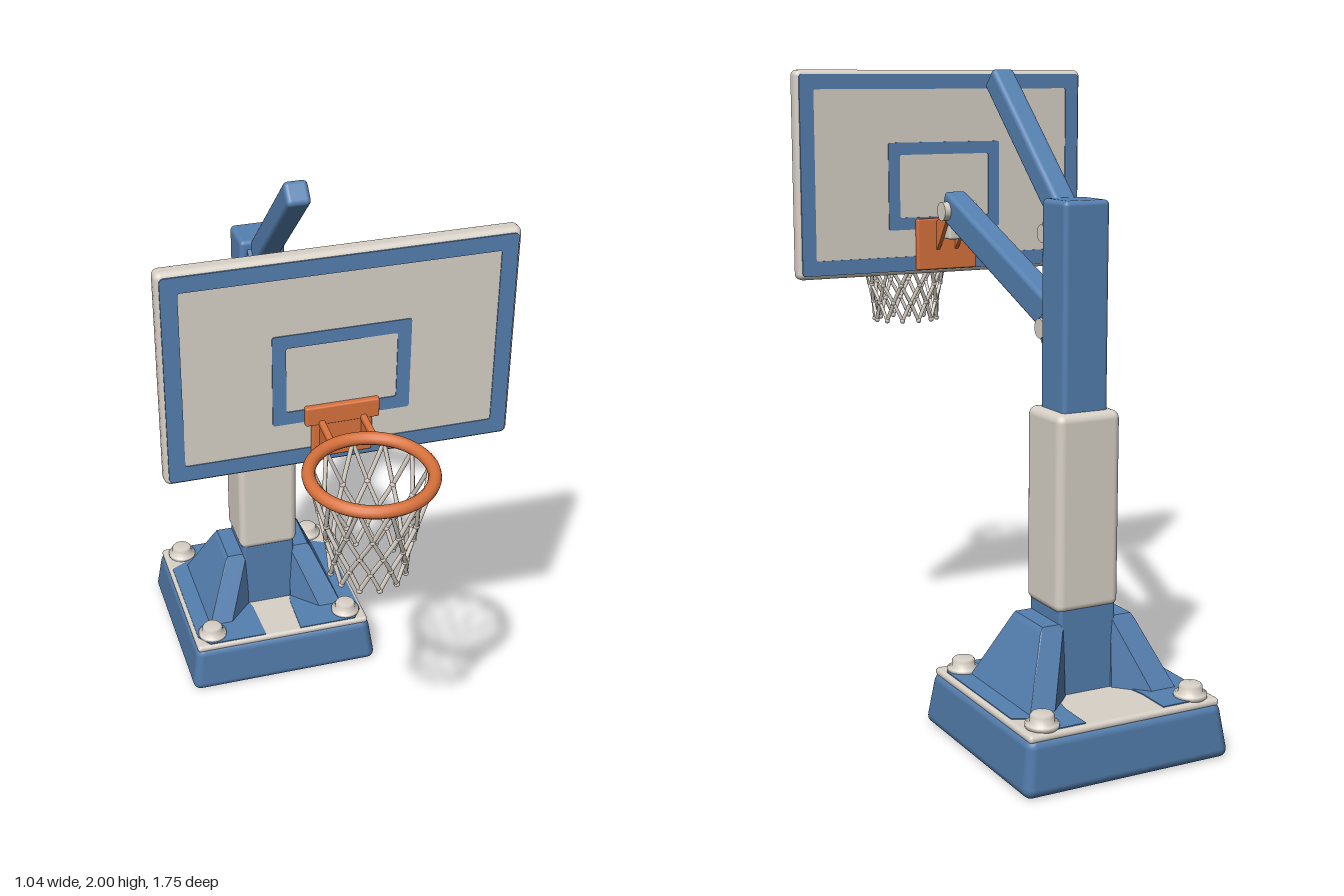
import * as THREE from 'three';
import { RoundedBoxGeometry } from 'three/addons/geometries/RoundedBoxGeometry.js';
import { ConvexGeometry } from 'three/addons/geometries/ConvexGeometry.js';

const material = (name, color) => Object.assign(new THREE.MeshStandardMaterial({ color }), { name });

export function createModel() {
  const blue = material('blue paint', 0x5580b0);
  const cream = material('cream', 0xd8d1c7);
  const orange = material('orange steel', 0xd9723c);
  const model = new THREE.Group();
  model.name = 'basketballHoop';

  const add = (name, geometry, mat, x = 0, y = 0, z = 0, parent = model) => {
    const mesh = new THREE.Mesh(geometry, mat);
    mesh.name = name;
    mesh.position.set(x, y, z);
    parent.add(mesh);
    return mesh;
  };
  // Rounded box given by its limits on each axis
  const box = (name, mat, [x0, x1], [y0, y1], [z0, z1], r = 0.01) =>
    add(name, new RoundedBoxGeometry(x1 - x0, y1 - y0, z1 - z0, 3, r), mat,
      (x0 + x1) / 2, (y0 + y1) / 2, (z0 + z1) / 2);
  // Rounded bar between two points in the middle plane, given as [z, y]
  const bar = (name, mat, a, b, width, height, r = 0.015) => {
    const length = Math.hypot(b[0] - a[0], b[1] - a[1]);
    const mesh = add(name, new RoundedBoxGeometry(width, height, length, 3, r), mat,
      0, (a[1] + b[1]) / 2, (a[0] + b[0]) / 2);
    mesh.rotation.x = -Math.atan2(b[1] - a[1], b[0] - a[0]);
    return mesh;
  };
  // Plate outlined in the z-y plane, with its thickness along x
  const sidePlate = (name, mat, points, x, thickness) => {
    const shape = new THREE.Shape(points.map(p => new THREE.Vector2(...p)));
    const g = new THREE.ExtrudeGeometry(shape, { depth: thickness, bevelEnabled: false });
    g.translate(0, 0, -thickness / 2).rotateY(-Math.PI / 2);
    return add(name, g, mat, x);
  };
  // Round pin lying across the model
  const pin = (name, z, y, r, halfWidth) => {
    add(name, new THREE.CylinderGeometry(r, r, halfWidth * 2, 24).rotateZ(Math.PI / 2), cream, 0, y, z);
  };

  // Tapered base
  const base = new RoundedBoxGeometry(0.69, 0.17, 0.675, 4, 0.03);
  const p = base.attributes.position;
  for (let i = 0; i < p.count; i++) {
    const k = 1 - 0.07 * (p.getY(i) / 0.17 + 0.5);
    p.setX(i, p.getX(i) * k);
    p.setZ(i, p.getZ(i) * k);
  }
  add('base', base, blue, 0, 0.085, -0.54);
  box('baseTopPlate', cream, [-0.318, 0.318], [0.155, 0.18], [-0.85, -0.23], 0.012);

  for (const s of [-1, 1]) {
    // Painted side area of the base top
    const outline = [[0.13, -0.835], [0.24, -0.835], [0.25, -0.74], [0.305, -0.71], [0.305, -0.29],
      [0.27, -0.24], [0.065, -0.24], [0.07, -0.4], [0.13, -0.72]];
    const shape = new THREE.Shape(outline.map(([x, z]) => new THREE.Vector2(s * x, z)));
    const paint = new THREE.ExtrudeGeometry(shape, { depth: 0.006, bevelEnabled: false });
    add('basePaint', paint.rotateX(Math.PI / 2), blue, 0, 0.183, 0);

    // Sloping gusset beside the post
    const corners = [];
    for (const t of [-1, 1]) {
      for (const [x, y, z] of [[0.08, 0.17, 0.1], [0.17, 0.17, 0.195], [0.252, 0.17, 0.195],
        [0.08, 0.4, 0.085], [0.15, 0.4, 0.085], [0.16, 0.385, 0.09]]) {
        corners.push(new THREE.Vector3(s * x, y, t * z));
      }
    }
    add('gusset', new ConvexGeometry(corners), blue, 0, 0, -0.53);

    // Anchor bolts
    for (const z of [-0.795, -0.295]) {
      const profile = [[0, 0], [0.05, 0], [0.05, 0.014], [0.036, 0.016], [0.036, 0.036], [0.03, 0.043], [0, 0.043]];
      add('anchorBolt', new THREE.LatheGeometry(profile.map(q => new THREE.Vector2(...q)), 24), cream,
        s * 0.25, 0.178, z);
    }
  }

  // Post with its padded sleeve
  box('postFoot', blue, [-0.095, 0.095], [0.16, 0.45], [-0.62, -0.435], 0.012);
  box('post', blue, [-0.075, 0.075], [0.4, 1.635], [-0.596, -0.456], 0.015);
  box('postPad', cream, [-0.105, 0.105], [0.43, 1.025], [-0.625, -0.425], 0.025);

  // Upper brace and lower arm with their brackets and pins
  bar('upperBrace', blue, [-0.5, 1.55], [-0.045, 1.978], 0.075, 0.078);
  bar('lowerArm', blue, [-0.46, 1.262], [0.285, 1.565], 0.078, 0.1);
  for (const s of [-1, 1]) {
    sidePlate('upperBracket', blue, [[-0.47, 1.5], [-0.44, 1.5], [-0.415, 1.53], [-0.43, 1.58], [-0.47, 1.62]], s * 0.045, 0.014);
    sidePlate('lowerBracket', blue, [[-0.47, 1.19], [-0.44, 1.19], [-0.4, 1.24], [-0.41, 1.28], [-0.47, 1.32]], s * 0.047, 0.014);
    sidePlate('rearLug', orange, [[0.335, 1.5], [0.27, 1.535], [0.25, 1.515], [0.3, 1.44], [0.335, 1.4]], s * 0.034, 0.012);
  }
  pin('upperPin', -0.43, 1.53, 0.026, 0.06);
  pin('lowerPin', -0.425, 1.25, 0.03, 0.062);
  pin('boardPin', 0.245, 1.545, 0.031, 0.06);
  box('boardLink', cream, [-0.028, 0.028], [1.45, 1.535], [0.25, 0.34], 0.008);

  // Backboard with painted frames on both faces
  box('backboard', cream, [-0.52, 0.52], [1.33, 2], [0.345, 0.402], 0.02);
  const rectangle = (Type, w, h, r) => {
    const path = new Type();
    path.moveTo(-w + r, -h).lineTo(w - r, -h).quadraticCurveTo(w, -h, w, -h + r);
    path.lineTo(w, h - r).quadraticCurveTo(w, h, w - r, h);
    path.lineTo(-w + r, h).quadraticCurveTo(-w, h, -w, h - r);
    path.lineTo(-w, -h + r).quadraticCurveTo(-w, -h, -w + r, -h);
    return path;
  };
  const frame = (name, w, h, edge, y, r) => {
    const shape = rectangle(THREE.Shape, w, h, r);
    shape.holes.push(rectangle(THREE.Path, w - edge, h - edge, 0.008));
    const g = new THREE.ExtrudeGeometry(shape, { depth: 0.005, bevelEnabled: false });
    for (const z of [0.342, 0.4]) add(name, g, blue, 0, y, z);
  };
  frame('boardBorder', 0.508, 0.322, 0.048, 1.665, 0.015);
  frame('targetSquare', 0.203, 0.143, 0.04, 1.623, 0.008);

  // Rim mounting plates and supports
  box('rearPlate', orange, [-0.108, 0.108], [1.345, 1.515], [0.325, 0.347], 0.006);
  box('frontPlate', orange, [-0.09, 0.09], [1.36, 1.5], [0.398, 0.416], 0.006);
  box('frontPlateTop', orange, [-0.11, 0.11], [1.47, 1.53], [0.398, 0.42], 0.006);
  for (const s of [-1, 1]) {
    bar('rimSupport', orange, [0.41, 1.475], [0.525, 1.465], 0.018, 0.022, 0.006).position.x = s * 0.062;
    sidePlate('rimGusset', orange, [[0.41, 1.485], [0.5, 1.475], [0.5, 1.46], [0.41, 1.39]], s * 0.062, 0.012);
  }

  // Slightly tilted rim and net
  const hoop = new THREE.Group();
  hoop.name = 'hoop';
  hoop.position.set(0, 1.46, 0.682);
  hoop.rotation.x = 0.035;
  model.add(hoop);
  add('rim', new THREE.TorusGeometry(0.173, 0.019, 12, 64).rotateX(Math.PI / 2), orange, 0, 0, 0, hoop);

  const columns = 12;
  const levels = [[0.17, -0.008], [0.143, -0.125], [0.126, -0.2], [0.114, -0.262], [0.11, -0.325]];
  const knotGeometry = new THREE.SphereGeometry(0.0095, 8, 6);
  const netPoint = (column, level) => {
    const a = column / columns * Math.PI * 2;
    const [r, y] = levels[level];
    return new THREE.Vector3(Math.sin(a) * r, y, Math.cos(a) * r);
  };
  for (let i = 0; i < columns; i++) {
    for (const s of [-0.5, 0.5]) {
      const curve = new THREE.CatmullRomCurve3(levels.map((_, k) => netPoint(i + s * k, k)));
      add('netStrand', new THREE.TubeGeometry(curve, 20, 0.0065, 6), cream, 0, 0, 0, hoop);
    }
    levels.forEach((_, k) => {
      const q = netPoint(i + k / 2, k);
      add('netKnot', knotGeometry, cream, q.x, q.y, q.z, hoop);
    });
  }
  return model;
}
